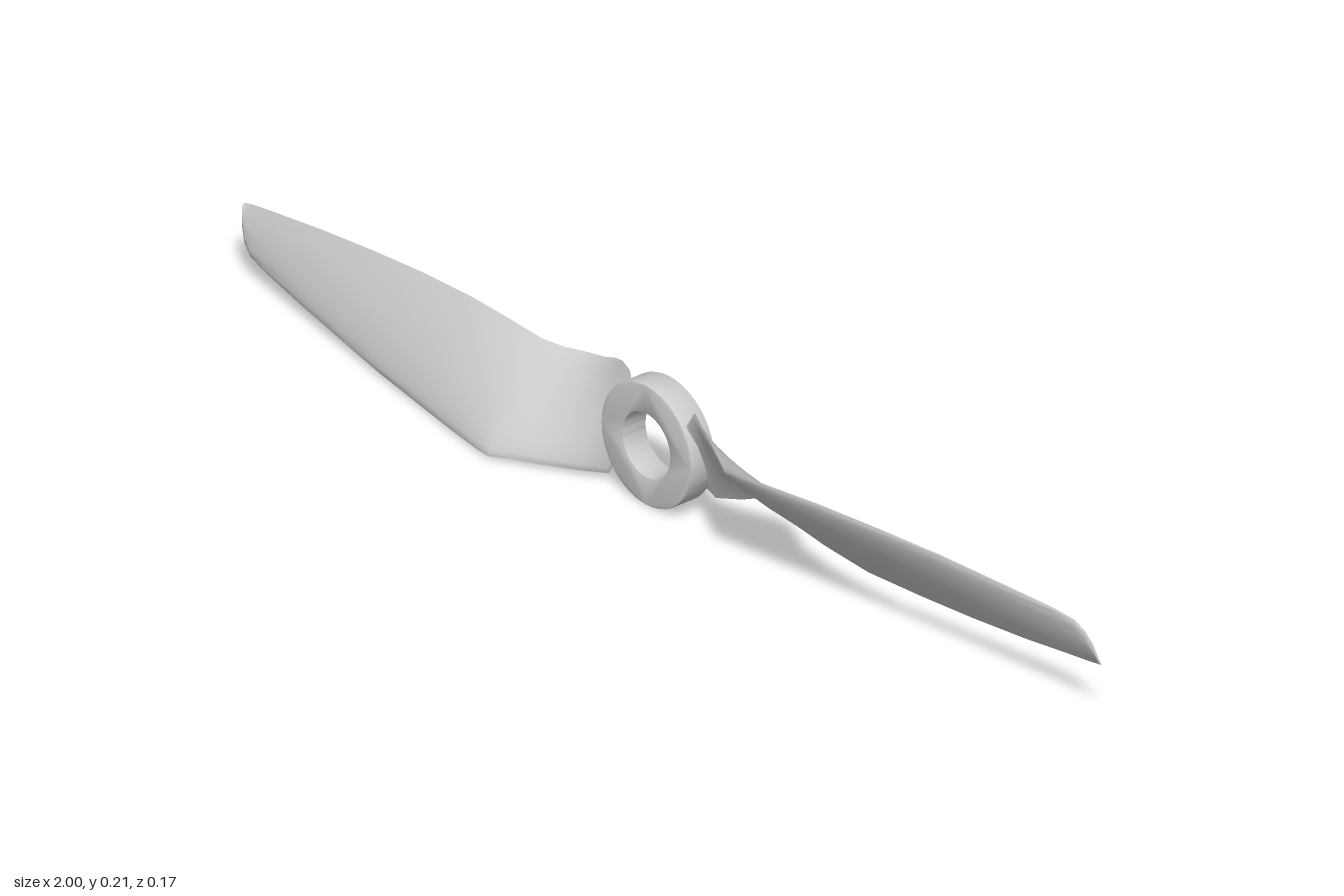
import * as THREE from 'three';
import { toCreasedNormals } from 'three/addons/utils/BufferGeometryUtils.js';

const HUB_Y = 0.105;

// Blade stations: x, leading edge y z, trailing edge y z, thickness (y from the hub axis)
const STATIONS = [
  [0.08, 0.06, -0.012, -0.05, -0.045, 0.012],
  [0.10, 0.093, -0.012, -0.072, -0.056, 0.014],
  [0.14, 0.096, 0.011, -0.066, -0.076, 0.016],
  [0.17, 0.097, 0.027, -0.055, -0.088, 0.018],
  [0.20, 0.098, 0.043, -0.044, -0.091, 0.019],
  [0.24, 0.098, 0.064, -0.037, -0.090, 0.020],
  [0.275, 0.099, 0.083, -0.037, -0.075, 0.020],
  [0.31, 0.1, 0.079, -0.043, -0.060, 0.020],
  [0.38, 0.1, 0.067, -0.053, -0.053, 0.020],
  [0.46, 0.1, 0.052, -0.057, -0.052, 0.019],
  [0.58, 0.097, 0.032, -0.052, -0.055, 0.018],
  [0.70, 0.091, 0.010, -0.043, -0.056, 0.016],
  [0.82, 0.082, -0.010, -0.031, -0.057, 0.013],
  [0.92, 0.073, -0.028, -0.018, -0.058, 0.011],
  [0.96, 0.066, -0.035, -0.013, -0.058, 0.010],
  [0.98, 0.052, -0.040, -0.010, -0.058, 0.009],
  [0.992, 0.03, -0.046, -0.008, -0.058, 0.007],
  [1.0, 0.0, -0.052, -0.006, -0.057, 0.003],
];
const N = 14; // points along each face of a section

// Section: domed front face, nearly flat back, rounded nose
function section([x, ly, lz, ty, tz, t]) {
  const dy = ty - ly, dz = tz - lz, len = Math.hypot(dy, dz);
  const ny = dz / len, nz = -dy / len;
  const pts = [];
  for (let j = 0; j < 2 * N; j++) {
    const front = j <= N;
    const s = front ? j / N : (2 * N - j) / N;
    const u = (1 - Math.cos(Math.PI * s)) / 2;
    const dome = 1.5 * Math.sqrt(u) * (1 - u) + 0.12 * Math.sin(Math.PI * u);
    const h = front ? t * dome : -t * 0.2 * Math.sqrt(u) * (1 - u);
    pts.push([x, ly + dy * u + ny * h, lz + dz * u + nz * h]);
  }
  return pts;
}

function bladeGeometry() {
  const pos = [], idx = [], ring = 2 * N;
  const rings = STATIONS.map(section);
  rings.forEach((r) => r.forEach((p) => pos.push(...p)));
  for (let i = 0; i < rings.length - 1; i++) {
    for (let j = 0; j < ring; j++) {
      const a = i * ring + j, b = i * ring + ((j + 1) % ring);
      idx.push(a, b, a + ring, b, b + ring, a + ring);
    }
  }
  // End caps
  const last = (rings.length - 1) * ring;
  for (let j = 1; j < ring - 1; j++) {
    idx.push(0, j + 1, j);
    idx.push(last, last + j, last + j + 1);
  }
  const g = new THREE.BufferGeometry();
  g.setAttribute('position', new THREE.Float32BufferAttribute(pos, 3));
  g.setIndex(idx);
  return toCreasedNormals(g, 0.7);
}

// Ring with a bore and slightly softened rims
function hubGeometry() {
  const bevel = 0.003;
  const shape = new THREE.Shape().absarc(0, 0, 0.105 - bevel, 0, Math.PI * 2);
  shape.holes.push(new THREE.Path().absarc(0, 0, 0.055 + bevel, 0, Math.PI * 2, true));
  const g = new THREE.ExtrudeGeometry(shape, {
    depth: 0.05 - 2 * bevel, bevelEnabled: true, bevelSize: bevel,
    bevelThickness: bevel, bevelSegments: 2, curveSegments: 32,
  });
  g.translate(0, 0, -0.05 + bevel);
  return toCreasedNormals(g, 0.5);
}

export function createModel() {
  const group = new THREE.Group();
  group.name = 'propeller';
  const grey = new THREE.MeshStandardMaterial({ color: 0xcccccc });

  const hub = new THREE.Mesh(hubGeometry(), grey);
  hub.name = 'hub';
  hub.position.y = HUB_Y;
  group.add(hub);

  // Two blades, half a turn apart
  const blade = bladeGeometry();
  ['leftBlade', 'rightBlade'].forEach((name, i) => {
    const mesh = new THREE.Mesh(blade, grey);
    mesh.name = name;
    mesh.position.y = HUB_Y;
    mesh.rotation.z = i * Math.PI;
    group.add(mesh);
  });
  return group;
}
